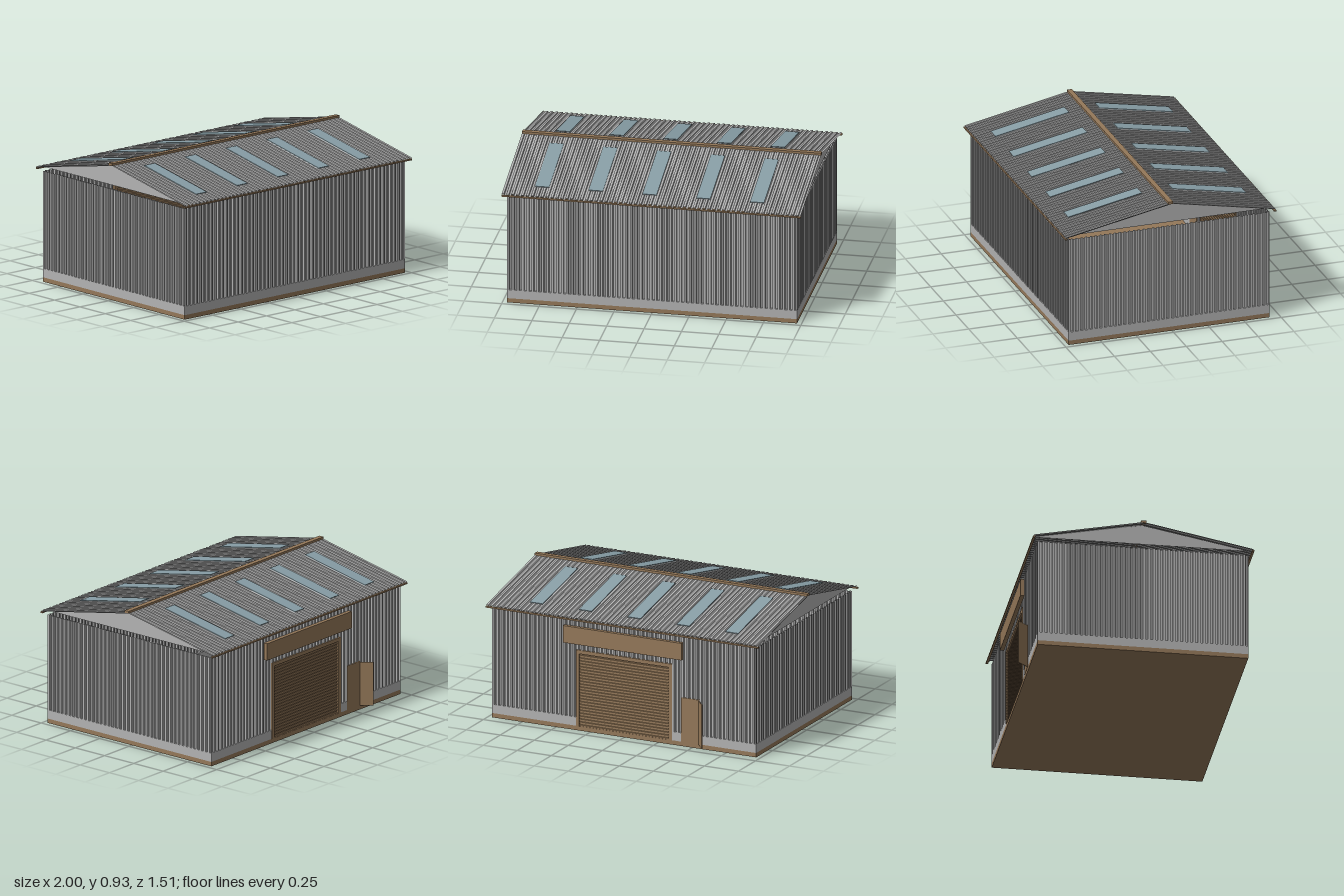
import * as THREE from 'three';

const mat = (name, color, double) => {
  const m = new THREE.MeshStandardMaterial({ color });
  m.name = name;
  if (double) m.side = THREE.DoubleSide;
  return m;
};

export function createModel() {
  const grey = mat('sheet grey', 0xb2b2b2, true);
  const brown = mat('trim brown', 0x947859, true);
  const glass = mat('skylight blue', 0x879da5);

  const root = new THREE.Group();
  root.name = 'warehouse';
  const CZ = 0.02; // middle of the building in z

  const add = (parent, name, geo, material, x = 0, y = 0, z = 0) => {
    const m = new THREE.Mesh(geo, material);
    m.name = name;
    m.position.set(x, y, z);
    parent.add(m);
    return m;
  };
  // box given by its minimum and maximum on each axis
  const box = (parent, name, material, x0, x1, y0, y1, z0, z1) =>
    add(parent, name, new THREE.BoxGeometry(x1 - x0, y1 - y0, z1 - z0), material,
      (x0 + x1) / 2, (y0 + y1) / 2, (z0 + z1) / 2);

  // trapezoid sheet metal, ribs along y, outer faces at z = 0
  const sheet = (w, h, pitch, depth) => {
    const n = Math.max(1, Math.round(w / pitch)), p = w / n, cols = 4 * n;
    const g = new THREE.PlaneGeometry(w, h, cols, 1);
    const pos = g.attributes.position;
    for (let i = 0; i < pos.count; i++) {
      const c = i % (cols + 1), k = c % 4;
      pos.setX(i, -w / 2 + (Math.floor(c / 4) + [0, 0.45, 0.55, 0.9][k]) * p);
      pos.setZ(i, k < 2 ? 0 : -depth);
    }
    const flat = g.toNonIndexed();
    flat.computeVertexNormals();
    return flat;
  };

  // floor slab
  box(root, 'floorSlab', brown, -0.97, 0.97, 0, 0.03, CZ - 0.7, CZ + 0.7);

  // walls: each one is a list of [x0, x1, bottom] pieces seen from outside
  const wall = (name, turn, dist, pieces) => {
    const g = new THREE.Group();
    g.name = name;
    g.position.z = CZ;
    g.rotation.y = turn;
    for (const [x0, x1, y0] of pieces) {
      add(g, 'wallSheet', sheet(x1 - x0, 0.75 - y0, 0.033, 0.012), grey,
        (x0 + x1) / 2, (0.75 + y0) / 2, dist);
      if (y0 < 0.1) box(g, 'plinth', grey, x0, x1, 0.03, 0.09, dist - 0.02, dist);
    }
    root.add(g);
    return g;
  };
  wall('frontWall', 0, 0.7, [[-0.97, 0.97, 0.09]]);
  wall('leftWall', Math.PI / 2, 0.97, [[-0.7, 0.7, 0.09]]);
  wall('rightWall', -Math.PI / 2, 0.97, [[-0.7, 0.7, 0.09]]);
  const back = wall('backWall', Math.PI, 0.7, [
    [-0.97, -0.35, 0.09], [-0.35, 0.35, 0.55], [0.35, 0.42, 0.09],
    [0.42, 0.555, 0.335], [0.555, 0.97, 0.09],
  ]);

  // roller door with slats and frame
  const slats = sheet(0.5, 0.66, 0.02, 0.006).rotateZ(Math.PI / 2);
  add(back, 'rollerDoor', slats, brown, 0, 0.28, 0.698);
  for (const s of [-1, 1])
    box(back, 'doorJamb', brown, s * 0.34 - 0.012, s * 0.34 + 0.012, 0.03, 0.53, 0.68, 0.705);
  box(back, 'doorHeader', brown, -0.352, 0.352, 0.53, 0.555, 0.68, 0.705);

  // blank board above the roller door
  box(back, 'signBoard', brown, -0.435, 0.435, 0.6, 0.717, 0.703, 0.73);

  // side entrance with a leaf standing open
  box(back, 'entrancePanel', brown, 0.42, 0.555, 0.03, 0.335, 0.68, 0.702);
  const leaf = add(back, 'entranceLeaf', new THREE.BoxGeometry(0.088, 0.3, 0.006), brown,
    0.579, 0.18, 0.738);
  leaf.rotation.y = -Math.atan2(0.067, 0.057);

  // roof: two slopes, each with skylights and a gutter
  const RUN = 0.73, EAVE = 0.78, TOP = 0.923;
  const pitchAngle = Math.atan2(TOP - EAVE, RUN), slopeLen = Math.hypot(RUN, TOP - EAVE);
  for (const s of [1, -1]) {
    const side = new THREE.Group();
    side.name = s > 0 ? 'frontRoof' : 'backRoof';
    side.position.z = CZ;
    side.rotation.y = s > 0 ? 0 : Math.PI;
    const slope = new THREE.Group();
    slope.name = 'roofSlope';
    slope.position.set(0, (EAVE + TOP) / 2, RUN / 2);
    slope.rotation.x = pitchAngle - Math.PI / 2;
    add(slope, 'roofSheet', sheet(2, slopeLen, 0.033, 0.008), grey);
    for (let i = 0; i < 5; i++)
      add(slope, 'skylight', new THREE.BoxGeometry(0.094, 0.522, 0.005), glass,
        s * (-0.75 + 0.359 * i), 0.003, 0.002);
    side.add(slope);
    box(side, 'gutter', brown, -1, 1, 0.762, 0.772, 0.72, 0.735);
    root.add(side);
  }
  box(root, 'ridgeCap', brown, -1, 1, 0.918, 0.934, CZ - 0.017, CZ + 0.017);

  // gable triangles
  const tri = new THREE.Shape([
    new THREE.Vector2(-0.715, 0.777), new THREE.Vector2(0.715, 0.777), new THREE.Vector2(0, 0.914),
  ]);
  for (const s of [1, -1]) {
    const gable = add(root, 'gable', new THREE.ShapeGeometry(tri), grey, s * 0.965, 0, CZ);
    gable.rotation.y = s * Math.PI / 2;
  }
  return root;
}
